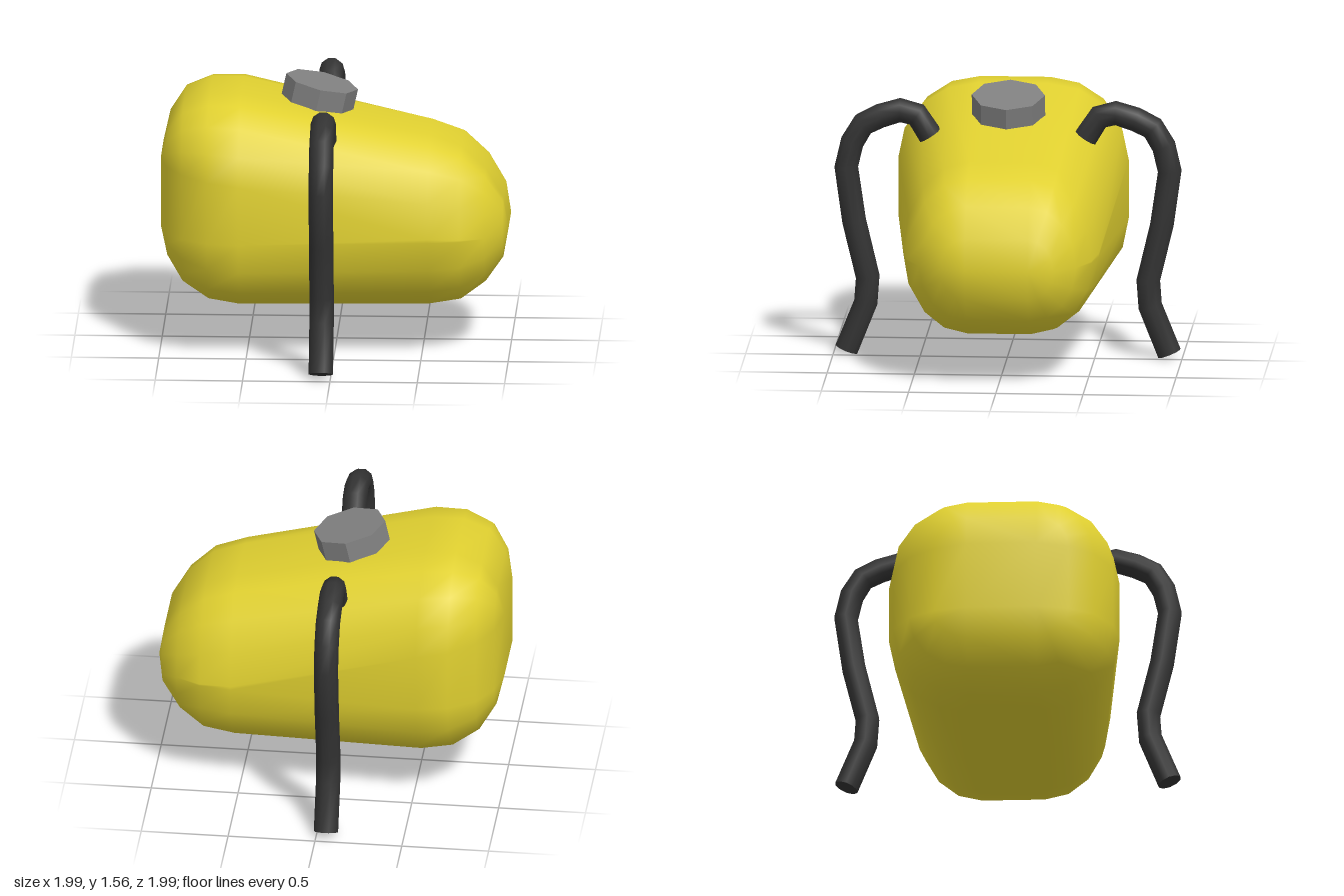
import * as THREE from 'three';
import { mergeVertices } from 'three/addons/utils/BufferGeometryUtils.js';

const yellow = new THREE.MeshStandardMaterial({ color: 0xe0d030 });
yellow.name = 'tankYellow';
const grey = new THREE.MeshStandardMaterial({ color: 0x808080, flatShading: true });
grey.name = 'capGrey';
const black = new THREE.MeshStandardMaterial({ color: 0x333333 });
black.name = 'hoseBlack';

// Tank sections along x: x, bottom, flat side top, top, flat half width, half width
const SECTIONS = [
  [-1.00, 0.71, 1.11, 1.11, 0.20, 0.20],
  [-0.96, 0.54, 1.10, 1.29, 0.20, 0.385],
  [-0.87, 0.39, 1.09, 1.43, 0.20, 0.53],
  [-0.72, 0.29, 1.07, 1.49, 0.20, 0.63],
  [-0.54, 0.26, 1.05, 1.49, 0.20, 0.66],
  [0.54, 0.26, 0.73, 1.255, 0.18, 0.56],
  [0.72, 0.29, 0.72, 1.19, 0.18, 0.53],
  [0.86, 0.395, 0.71, 1.06, 0.18, 0.45],
  [0.96, 0.54, 0.71, 0.89, 0.18, 0.325],
  [0.99, 0.71, 0.71, 0.71, 0.18, 0.18],
];
const SIDE_BOTTOM = 0.71; // lower edge of the flat side band
const ARC = 4;            // segments in each rounded corner

function tankGeometry() {
  const pos = [], index = [], n = 4 * (ARC + 1);
  for (const [x, bottom, sideTop, top, flatZ, halfZ] of SECTIONS) {
    for (let q = 0; q < 4; q++) {
      const upper = q < 2, sz = q === 0 || q === 3 ? 1 : -1;
      const coreY = upper ? sideTop : SIDE_BOTTOM;
      const ry = upper ? top - coreY : coreY - bottom;
      for (let k = 0; k <= ARC; k++) {
        const a = (q + k / ARC) * Math.PI / 2;
        pos.push(x, coreY + ry * Math.sin(a), sz * flatZ + (halfZ - flatZ) * Math.cos(a));
      }
    }
  }
  for (let i = 0; i < SECTIONS.length - 1; i++) {
    for (let j = 0; j < n; j++) {
      const a = i * n + j, b = i * n + (j + 1) % n, c = b + n, d = a + n;
      index.push(a, d, c, a, c, b);
    }
  }
  // flat back end
  for (let j = 1; j < n - 1; j++) index.push(0, j, j + 1);
  const g = new THREE.BufferGeometry();
  g.setAttribute('position', new THREE.Float32BufferAttribute(pos, 3));
  g.setIndex(index);
  const welded = mergeVertices(g, 1e-4);
  welded.computeVertexNormals();
  return welded;
}

// Hose centre line as [z, y], from the tank down to the open end
const HOSE = [
  [0.445, 1.28], [0.523, 1.40], [0.617, 1.425], [0.732, 1.39], [0.83, 1.34], [0.893, 1.235],
  [0.927, 1.09], [0.882, 0.775], [0.804, 0.45], [0.815, 0.30], [0.925, 0.025],
];
const HOSE_X = -0.055, HOSE_R = 0.07, HOSE_SIDES = 10;

function createHose(side) {
  const group = new THREE.Group();
  group.name = side > 0 ? 'frontHose' : 'backHose';
  const curve = new THREE.CatmullRomCurve3(
    HOSE.map(([z, y]) => new THREE.Vector3(HOSE_X, y, z * side)));
  // one tube segment per path point
  curve.getPointAt = (u, target) => curve.getPoint(u, target);
  curve.getTangentAt = (u, target) => curve.getTangent(u, target);
  const tube = new THREE.Mesh(
    new THREE.TubeGeometry(curve, HOSE.length - 1, HOSE_R, HOSE_SIDES), black);
  tube.name = 'hoseTube';
  group.add(tube);
  // end discs
  for (const u of [0, 1]) {
    const disc = new THREE.Mesh(new THREE.CircleGeometry(HOSE_R, HOSE_SIDES), black);
    const dir = curve.getTangent(u).multiplyScalar(u ? 1 : -1);
    disc.position.copy(curve.getPoint(u));
    disc.quaternion.setFromUnitVectors(new THREE.Vector3(0, 0, 1), dir);
    disc.name = u ? 'hoseLowerEnd' : 'hoseUpperEnd';
    group.add(disc);
  }
  return group;
}

export function createModel() {
  const model = new THREE.Group();
  model.name = 'tankWithHoses';

  const tank = new THREE.Mesh(tankGeometry(), yellow);
  tank.name = 'tank';
  model.add(tank);

  // eight-sided filler cap, tilted with the sloping top
  const cap = new THREE.Mesh(new THREE.CylinderGeometry(0.21, 0.21, 0.125, 8), grey);
  cap.name = 'fillerCap';
  cap.position.set(-0.098, 1.455, 0);
  cap.rotation.z = -0.22;
  model.add(cap);

  model.add(createHose(1), createHose(-1));
  return model;
}
